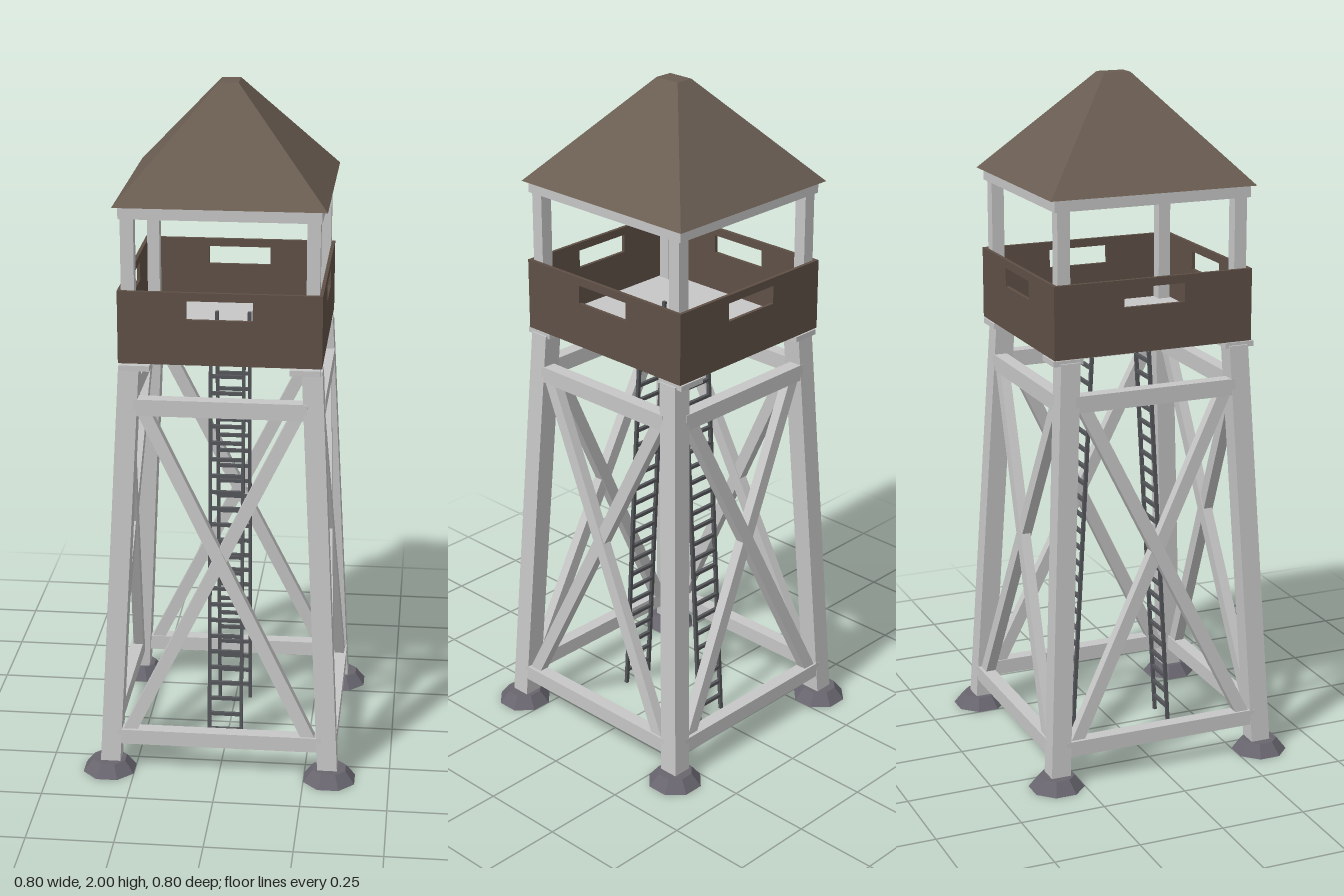
import * as THREE from 'three';

const mat = (name, color) => {
  const m = new THREE.MeshStandardMaterial({ color });
  m.name = name;
  return m;
};

export function createModel() {
  const timber = mat('pale timber', 0xc6c6c6);
  const wallBrown = mat('wall brown', 0x5f5046);
  const roofBrown = mat('roof brown', 0x6a5d52);
  const stone = mat('footing stone', 0x68656e);
  const metal = mat('ladder metal', 0x55565a);

  const model = new THREE.Group();
  model.name = 'watchtower';
  const V = (x, y, z) => new THREE.Vector3(x, y, z);

  function add(parent, name, geometry, material, x = 0, y = 0, z = 0) {
    const mesh = new THREE.Mesh(geometry, material);
    mesh.name = name;
    mesh.position.set(x, y, z);
    parent.add(mesh);
    return mesh;
  }
  const box = (parent, name, w, h, d, material, x, y, z) =>
    add(parent, name, new THREE.BoxGeometry(w, h, d), material, x, y, z);

  // Straight bar from a to b, its flat face turned towards +z
  function bar(parent, name, a, b, w, d, material) {
    const dir = b.clone().sub(a);
    const mid = a.clone().add(b).multiplyScalar(0.5);
    const mesh = box(parent, name, w, dir.length(), d, material, mid.x, mid.y, mid.z);
    const up = dir.normalize();
    const side = up.clone().cross(V(0, 0, 1)).normalize();
    const front = side.clone().cross(up);
    mesh.quaternion.setFromRotationMatrix(new THREE.Matrix4().makeBasis(side, up, front));
    return mesh;
  }

  // Box whose top rectangle differs from its bottom rectangle
  function taperedBox(y0, y1, bottom, top) {
    const g = new THREE.BoxGeometry(1, 1, 1);
    const p = g.attributes.position;
    for (let i = 0; i < p.count; i++) {
      const upper = p.getY(i) > 0;
      const r = upper ? top : bottom;
      p.setXYZ(i, r.x + 2 * p.getX(i) * r.w, upper ? y1 : y0, r.z + 2 * p.getZ(i) * r.d);
    }
    g.computeVertexNormals();
    return g;
  }

  // Corners: footing, leaning leg, cap plate, cabin post
  for (const sx of [-1, 1]) {
    for (const sz of [-1, 1]) {
      const foot = new THREE.CylinderGeometry(0.052, 0.081, 0.036, 8).toNonIndexed();
      foot.rotateY(Math.PI / 8);
      foot.computeVertexNormals();
      add(model, 'footing', foot, stone, sx * 0.325, 0.022, sz * 0.325);
      add(model, 'leg', taperedBox(0.03, 1.245,
        { x: sx * 0.32, z: sz * 0.32, w: 0.029, d: 0.029 },
        { x: sx * 0.257, z: sz * 0.257, w: 0.029, d: 0.029 }), timber);
      box(model, 'capPlate', 0.085, 0.016, 0.088, timber, sx * 0.238, 1.246, sz * 0.262);
      box(model, 'cabinPost', 0.037, 0.43, 0.037, timber, sx * 0.257, 1.465, sz * 0.267 - 0.005);
    }
  }

  // Four sides: rails and crossed braces following the lean of the legs
  const faceZ = (y) => 0.35 - 0.051 * y;
  for (let k = 0; k < 4; k++) {
    const side = new THREE.Group();
    side.name = 'sideFrame';
    side.rotation.y = k * Math.PI / 2;
    box(side, 'lowerRail', 0.6, 0.045, 0.04, timber, 0, 0.118, faceZ(0.118) - 0.02);
    box(side, 'upperRail', 0.49, 0.048, 0.04, timber, 0, 1.126, faceZ(1.126) - 0.02);
    for (const s of [-1, 1]) {
      const inset = 0.022 + s * 0.002;
      bar(side, 'brace', V(-s * 0.27, 0.12, faceZ(0.12) - inset),
        V(s * 0.218, 1.115, faceZ(1.115) - inset), 0.037, 0.03, timber);
    }
    model.add(side);
  }

  // Two leaning ladders below the cabin
  for (const [z0, z1] of [[0.152, 0.077], [-0.163, -0.09]]) {
    const ladder = new THREE.Group();
    ladder.name = 'ladder';
    for (const s of [-1, 1]) {
      bar(ladder, 'ladderRail', V(s * 0.048, 0.01, z0), V(s * 0.048, 1.3, z1), 0.01, 0.01, metal);
    }
    for (let i = 0; i < 25; i++) {
      const y = 0.057 + i * 0.05;
      const z = z0 + (z1 - z0) * (y - 0.01) / 1.29;
      box(ladder, 'rung', 0.096, 0.01, 0.01, metal, 0, y, z);
    }
    model.add(ladder);
  }

  // Cabin, set slightly back
  const cabin = new THREE.Group();
  cabin.name = 'cabin';
  cabin.position.z = -0.005;
  model.add(cabin);
  box(cabin, 'floor', 0.552, 0.016, 0.58, timber, 0, 1.262, 0);

  // Wall panel with a lookout slot
  function wallPanel(width) {
    const rect = (path, x, y0, y1) => path.moveTo(-x, y0).lineTo(x, y0).lineTo(x, y1).lineTo(-x, y1).closePath();
    const shape = new THREE.Shape();
    rect(shape, width / 2, 1.257, 1.466);
    const slot = new THREE.Path();
    rect(slot, 0.092, 1.388, 1.442);
    shape.holes.push(slot);
    return new THREE.ExtrudeGeometry(shape, { depth: 0.01, bevelEnabled: false });
  }
  for (let k = 0; k < 4; k++) {
    const along = k % 2 === 1;
    const turn = new THREE.Group();
    turn.name = 'wall';
    turn.rotation.y = k * Math.PI / 2;
    add(turn, 'wallPanel', wallPanel(along ? 0.58 : 0.57), wallBrown, 0, 0, along ? 0.275 : 0.29);
    cabin.add(turn);
  }

  // Eave frame and hipped roof
  for (const s of [-1, 1]) {
    box(cabin, 'eaveBeam', 0.56, 0.034, 0.04, timber, 0, 1.685, s * 0.275);
    box(cabin, 'eaveBeam', 0.04, 0.034, 0.51, timber, s * 0.26, 1.685, 0);
  }
  add(cabin, 'roof', taperedBox(1.702, 2,
    { x: 0, z: -0.002, w: 0.295, d: 0.309 },
    { x: 0, z: -0.002, w: 0.027, d: 0.04 }), roofBrown);

  return model;
}
